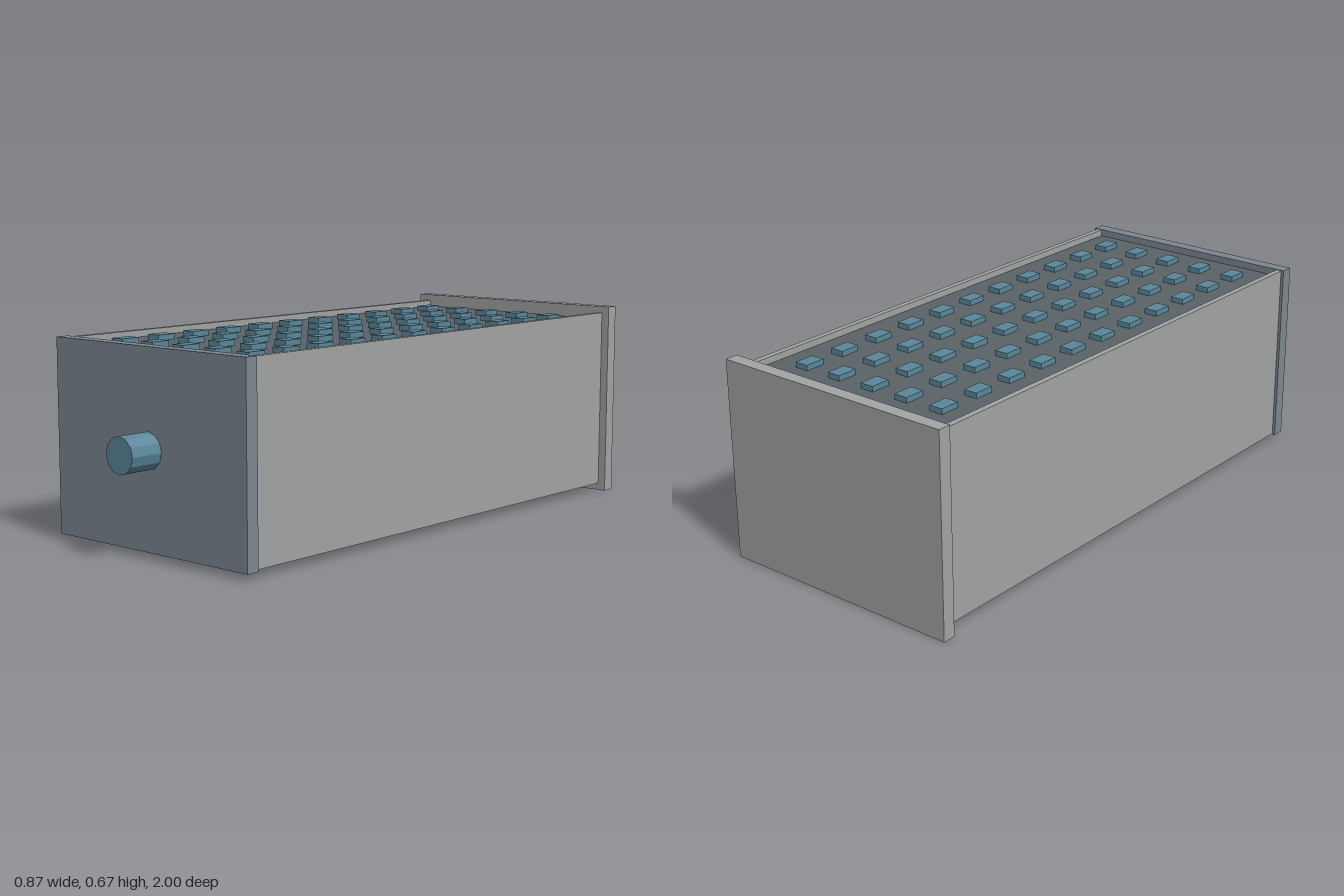
import * as THREE from 'three';

const material = (name, color, flatShading = false) => {
  const m = new THREE.MeshStandardMaterial({ color });
  m.name = name;
  m.flatShading = flatShading;
  return m;
};

export function createModel() {
  const model = new THREE.Group();
  model.name = 'ventedCase';

  const lightGrey = material('light grey', 0xa1a4a3);
  const slate = material('slate grey', 0x7d8690);
  const darkGrey = material('dark grey', 0x5a6367);
  const blue = material('steel blue', 0x5a8699, true);

  // Box given by its minimum and maximum corners
  const box = (name, mat, min, max, parent = model) => {
    const size = max.map((v, i) => v - min[i]);
    const mesh = new THREE.Mesh(new THREE.BoxGeometry(...size), mat);
    mesh.position.set(...max.map((v, i) => (v + min[i]) / 2));
    mesh.name = name;
    parent.add(mesh);
    return mesh;
  };

  // End plates
  box('backPlate', lightGrey, [-0.433, 0, -1], [0.433, 0.672, -0.955]);
  box('frontPlate', slate, [-0.415, 0.022, 0.84], [0.415, 0.652, 0.885]);

  // Side walls, standing slightly proud of the core
  for (const [name, side] of [['leftWall', 1], ['rightWall', -1]]) {
    const x = side * 0.395;
    box(name, lightGrey, [x - 0.01, 0.025, -0.955], [x + 0.01, 0.65, 0.84]);
  }

  // Recessed core
  box('core', darkGrey, [-0.385, 0.046, -0.955], [0.385, 0.628, 0.84]);

  // Grid of studs on the top and bottom faces
  for (const [name, y] of [['topStuds', 0.626], ['bottomStuds', 0.028]]) {
    const studs = new THREE.Group();
    studs.name = name;
    model.add(studs);
    for (let col = -2; col <= 2; col++) {
      for (let row = 0; row < 11; row++) {
        const x = col * 0.1375;
        const z = -0.803 + row * 0.1525;
        box('stud', blue, [x - 0.024, y, z - 0.035], [x + 0.024, y + 0.02, z + 0.035], studs);
      }
    }
  }

  // Latch under the rear end
  box('latch', blue, [-0.055, 0.02, -0.998], [0.055, 0.05, -0.83]);

  // Front knob
  const knob = new THREE.Mesh(new THREE.CylinderGeometry(0.059, 0.059, 0.12, 12), blue);
  knob.rotation.x = Math.PI / 2;
  knob.position.set(0, 0.336, 0.94);
  knob.name = 'knob';
  model.add(knob);

  return model;
}
